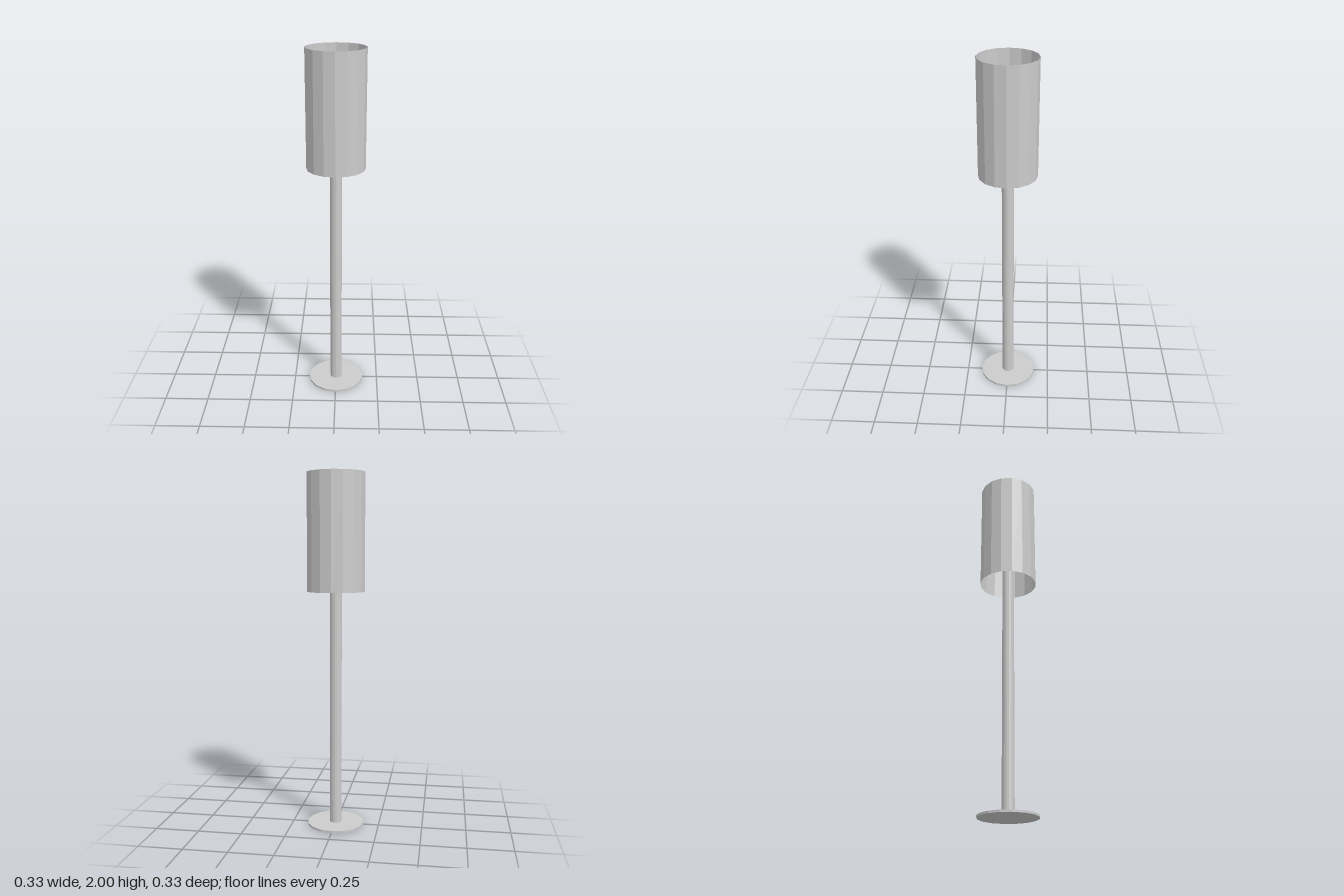
import * as THREE from 'three';

export function createModel() {
  const lamp = new THREE.Group();
  lamp.name = 'floorLamp';
  const grey = new THREE.MeshStandardMaterial({ color: 0xcccccc, flatShading: true });
  const thin = new THREE.MeshStandardMaterial({ color: 0xcccccc, flatShading: true, side: THREE.DoubleSide });

  const R = 0.163;        // radius of base and shade
  const SIDES = 16;
  const shadeBottom = 1.35, shadeTop = 2;
  const spokeY = 1.62;    // height of the shade support

  function add(name, geometry, y, material = grey) {
    const mesh = new THREE.Mesh(geometry, material);
    mesh.name = name;
    mesh.position.y = y;
    lamp.add(mesh);
    return mesh;
  }

  // Flat disc base and upright pole
  add('base', new THREE.CylinderGeometry(R, R, 0.012, SIDES), 0.006);
  const poleHeight = spokeY - 0.012;
  add('pole', new THREE.CylinderGeometry(0.034, 0.034, poleHeight, SIDES), 0.012 + poleHeight / 2);

  // Open drum shade
  const shadeHeight = shadeTop - shadeBottom;
  add('shade', new THREE.CylinderGeometry(R, R, shadeHeight, SIDES, 1, true), shadeBottom + shadeHeight / 2, thin);

  // Bulb on top of the pole
  add('bulb', new THREE.SphereGeometry(0.05, SIDES, 8), spokeY + 0.03);

  // Four thin spokes from the pole to the shade
  const spokeGeometry = new THREE.CylinderGeometry(0.0045, 0.0045, R - 0.002, 6);
  spokeGeometry.rotateZ(Math.PI / 2).translate(R / 2, 0, 0);
  for (let i = 0; i < 4; i++) {
    add('shadeSpoke' + (i + 1), spokeGeometry, spokeY).rotation.y = i * Math.PI / 2;
  }

  return lamp;
}
